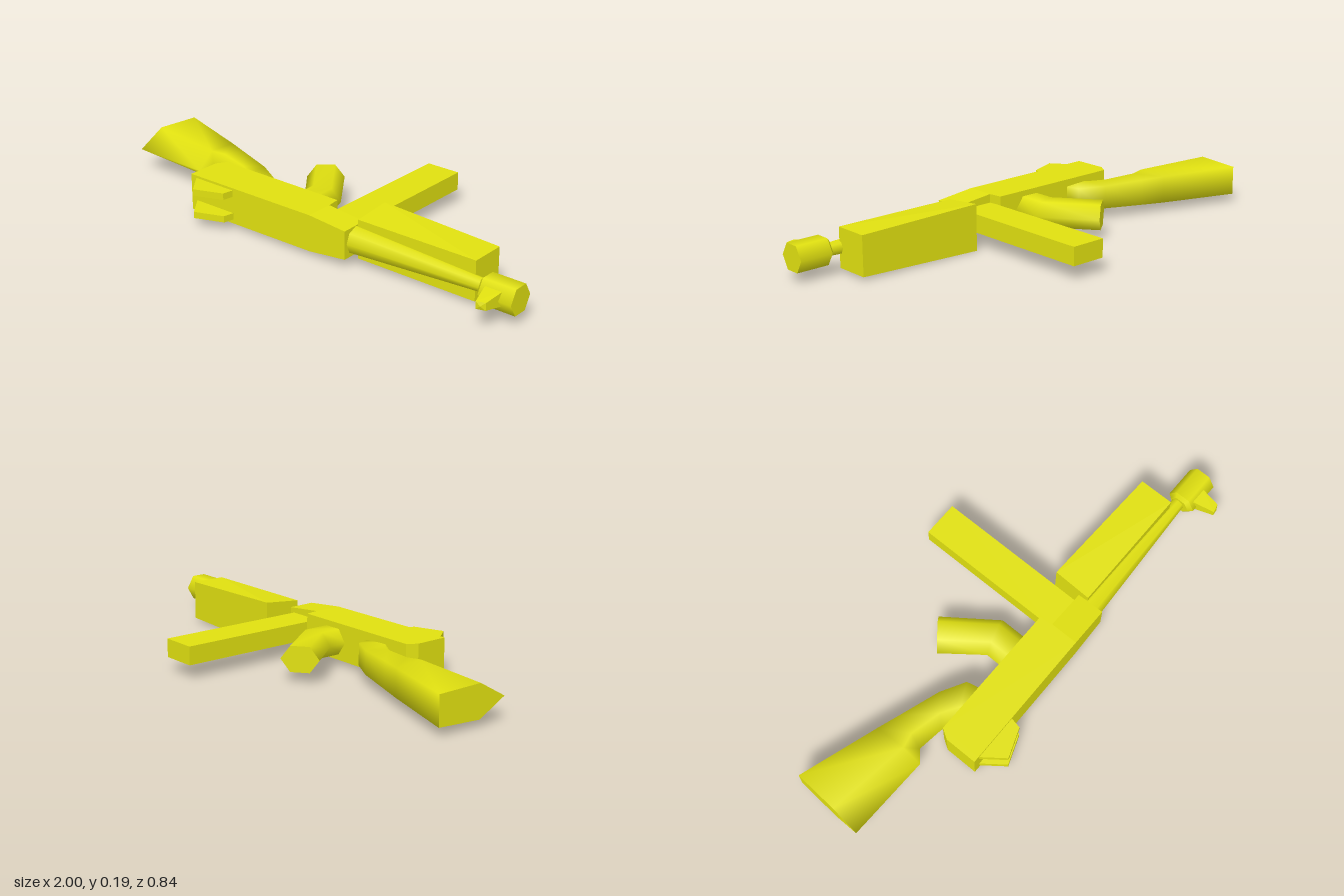
import * as THREE from 'three';

const MID = 0.095; // height of the symmetry plane
const yellow = new THREE.MeshStandardMaterial({ color: 0xe0e010 });
yellow.name = 'yellow';

// cross-section outlines: [side -1..1, position 0..1 from edge a to edge b]
const RECT = [[-1, 0], [1, 0], [1, 1], [-1, 1]];
const PENTAGON = [[-0.9, 0], [0.9, 0], [1, 0.62], [0, 1], [-1, 0.62]];
const HEXAGON = [[0, 0], [1, 0.25], [1, 0.75], [0, 1], [-1, 0.75], [-1, 0.25]];

// Skin over sections [ax, az, bx, bz, halfWidthAtA, halfWidthAtB], with flat end caps
function loft(outline, sections, smooth) {
  const n = outline.length;
  const pos = [];
  const index = [];
  const ring = ([ax, az, bx, bz, wa, wb = wa]) => outline.forEach(([s, t]) =>
    pos.push(ax + (bx - ax) * t, MID + s * (wa + (wb - wa) * t), az + (bz - az) * t));
  sections.forEach(ring);
  for (let i = 0; i < sections.length - 1; i++) {
    for (let j = 0; j < n; j++) {
      const a = i * n + j, b = i * n + (j + 1) % n;
      index.push(a, b, b + n, a, b + n, a + n);
    }
  }
  const start = sections.length * n, end = start + n;
  ring(sections[0]);
  ring(sections[sections.length - 1]);
  for (let j = 1; j < n - 1; j++) {
    index.push(start, start + j + 1, start + j, end, end + j, end + j + 1);
  }
  let geo = new THREE.BufferGeometry();
  geo.setAttribute('position', new THREE.Float32BufferAttribute(pos, 3));
  geo.setIndex(index);
  if (!smooth) geo = geo.toNonIndexed();
  geo.computeVertexNormals();
  return geo;
}

// Tapered round bar along x
function bar(x0, x1, r0, r1, z, sides) {
  return new THREE.CylinderGeometry(r1, r0, x1 - x0, sides)
    .rotateZ(-Math.PI / 2).translate((x0 + x1) / 2, MID, z);
}

export function createModel() {
  const group = new THREE.Group();
  const add = (name, geo) => {
    const mesh = new THREE.Mesh(geo, yellow);
    mesh.name = name;
    group.add(mesh);
    return mesh;
  };

  // Body, narrowing toward the barrel
  add('receiver', loft(RECT, [
    [-0.52, 0.195, -0.52, 0.332, 0.076],
    [-0.495, 0.155, -0.495, 0.332, 0.076],
    [0.088, 0.155, 0.088, 0.328, 0.075],
    [0.095, 0.21, 0.095, 0.328, 0.075],
    [0.262, 0.21, 0.265, 0.325, 0.058],
  ]));

  // Stock with a narrow wrist
  add('stock', loft(PENTAGON, [
    [-0.98, -0.145, -1, 0.155, 0.067],
    [-0.65, -0.04, -0.645, 0.165, 0.063],
    [-0.56, -0.01, -0.6, 0.125, 0.06],
    [-0.39, 0.045, -0.49, 0.14, 0.053],
    [-0.29, 0.1, -0.44, 0.175, 0.05],
    [-0.275, 0.165, -0.42, 0.2, 0.05],
  ], true));

  // Bent hand grip
  add('grip', loft(HEXAGON, [
    [-0.145, -0.17, -0.265, -0.075, 0.052],
    [0.005, 0.035, -0.145, 0.08, 0.052],
    [0.005, 0.18, -0.145, 0.18, 0.052],
  ], true));

  // Long straight magazine
  add('magazine', new THREE.BoxGeometry(0.148, 0.075, 0.65).translate(0.166, 0.097, -0.1));

  // Handguard, flared at its rear lower edge
  add('handguard', loft(RECT, [
    [0.268, 0.09, 0.268, 0.25, 0.095, 0.08],
    [0.8, 0.105, 0.8, 0.25, 0.081],
  ]));

  add('barrel', bar(0.25, 0.86, 0.056, 0.026, 0.258, 8));
  add('muzzleCollar', bar(0.848, 0.862, 0.042, 0.06, 0.266, 6));
  add('muzzle', bar(0.862, 1, 0.06, 0.06, 0.266, 6));

  // Front sight: tapered post
  const post = new THREE.CylinderGeometry(Math.SQRT1_2, Math.SQRT1_2, 1, 4, 1).toNonIndexed();
  post.rotateY(Math.PI / 4).rotateX(Math.PI / 2);
  const p = post.attributes.position;
  for (let i = 0; i < p.count; i++) {
    const tip = p.getZ(i) > 0;
    p.setXYZ(i, (tip ? 0.922 : 0.914) + p.getX(i) * (tip ? 0.036 : 0.074),
      0.098 + p.getY(i) * (tip ? 0.03 : 0.058), tip ? (p.getX(i) > 0 ? 0.388 : 0.398) : 0.3);
  }
  post.computeVertexNormals();
  add('frontSight', post);

  // Rear sight: pair of upright ears
  const ear = new THREE.Shape([[-0.5, 0.32], [-0.49, 0.335], [-0.425, 0.42], [-0.305, 0.375], [-0.295, 0.32]]
    .map(([x, z]) => new THREE.Vector2(x, -z)));
  for (const y of [0.037, 0.134]) {
    const geo = new THREE.ExtrudeGeometry(ear, { depth: 0.027, bevelEnabled: false });
    add('rearSightEar', geo.rotateX(-Math.PI / 2).translate(0, y, 0));
  }
  return group;
}
